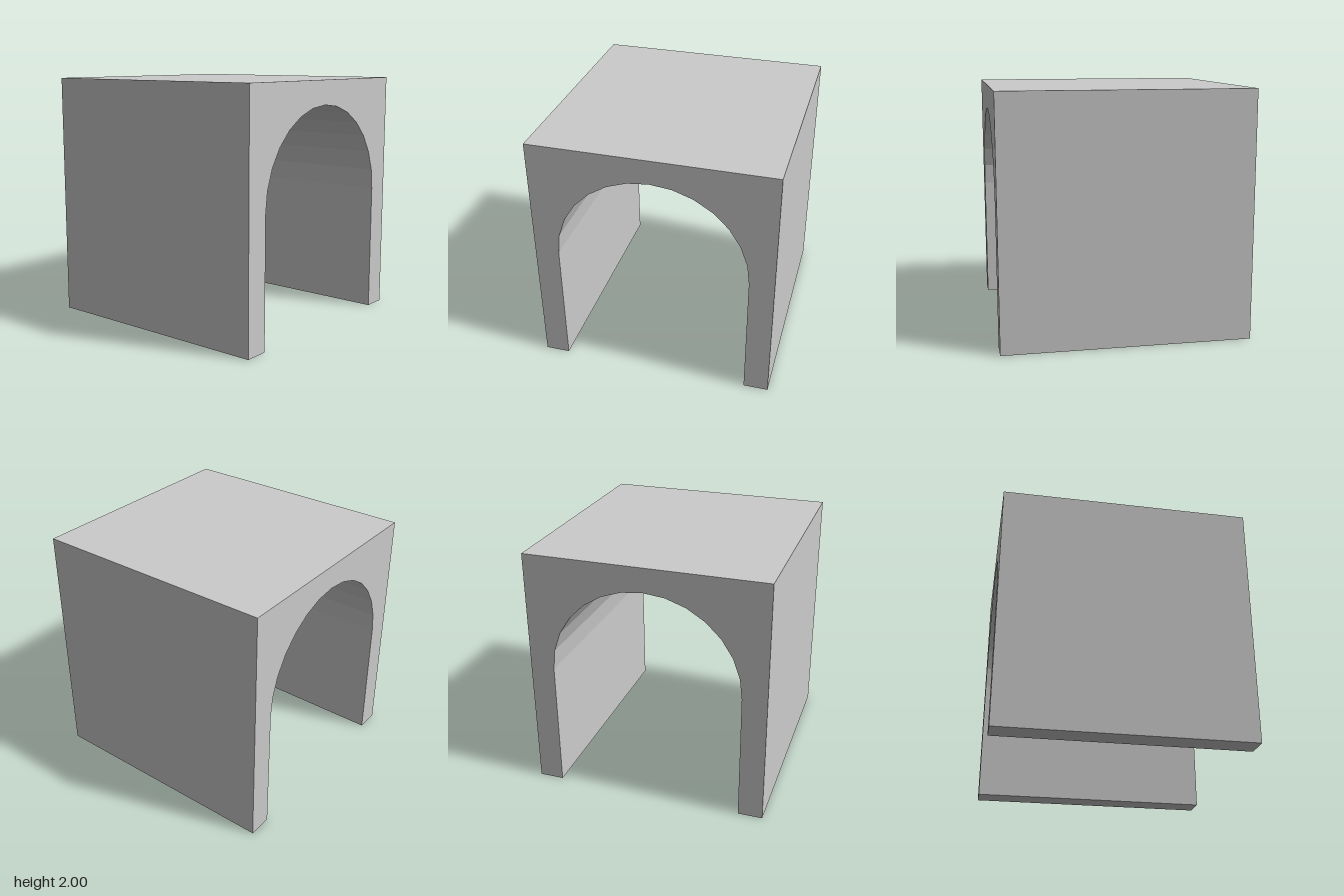
import * as THREE from 'three';

export function createModel() {
  const length = 2, height = 2, halfWidth = 0.965;
  const openHalf = 0.767, springY = 1.05, rise = 0.755, segments = 14;

  // Cross-section: square block with an arched opening reaching the ground
  const section = new THREE.Shape();
  section.moveTo(-openHalf, 0);
  section.lineTo(-halfWidth, 0);
  section.lineTo(-halfWidth, height);
  section.lineTo(halfWidth, height);
  section.lineTo(halfWidth, 0);
  section.lineTo(openHalf, 0);
  for (let i = 0; i <= segments; i++) {
    const a = (i / segments) * Math.PI;
    section.lineTo(openHalf * Math.cos(a), springY + rise * Math.sin(a));
  }
  section.closePath();

  // Run the section along x so the passage opens to left and right
  const geometry = new THREE.ExtrudeGeometry(section, { depth: length, bevelEnabled: false });
  geometry.translate(0, 0, -length / 2);
  geometry.rotateY(Math.PI / 2);

  const tunnel = new THREE.Mesh(
    geometry,
    new THREE.MeshStandardMaterial({ color: 0xcccccc, flatShading: true })
  );
  tunnel.name = 'archedTunnelBlock';

  const model = new THREE.Group();
  model.name = 'archTunnel';
  model.add(tunnel);
  return model;
}
